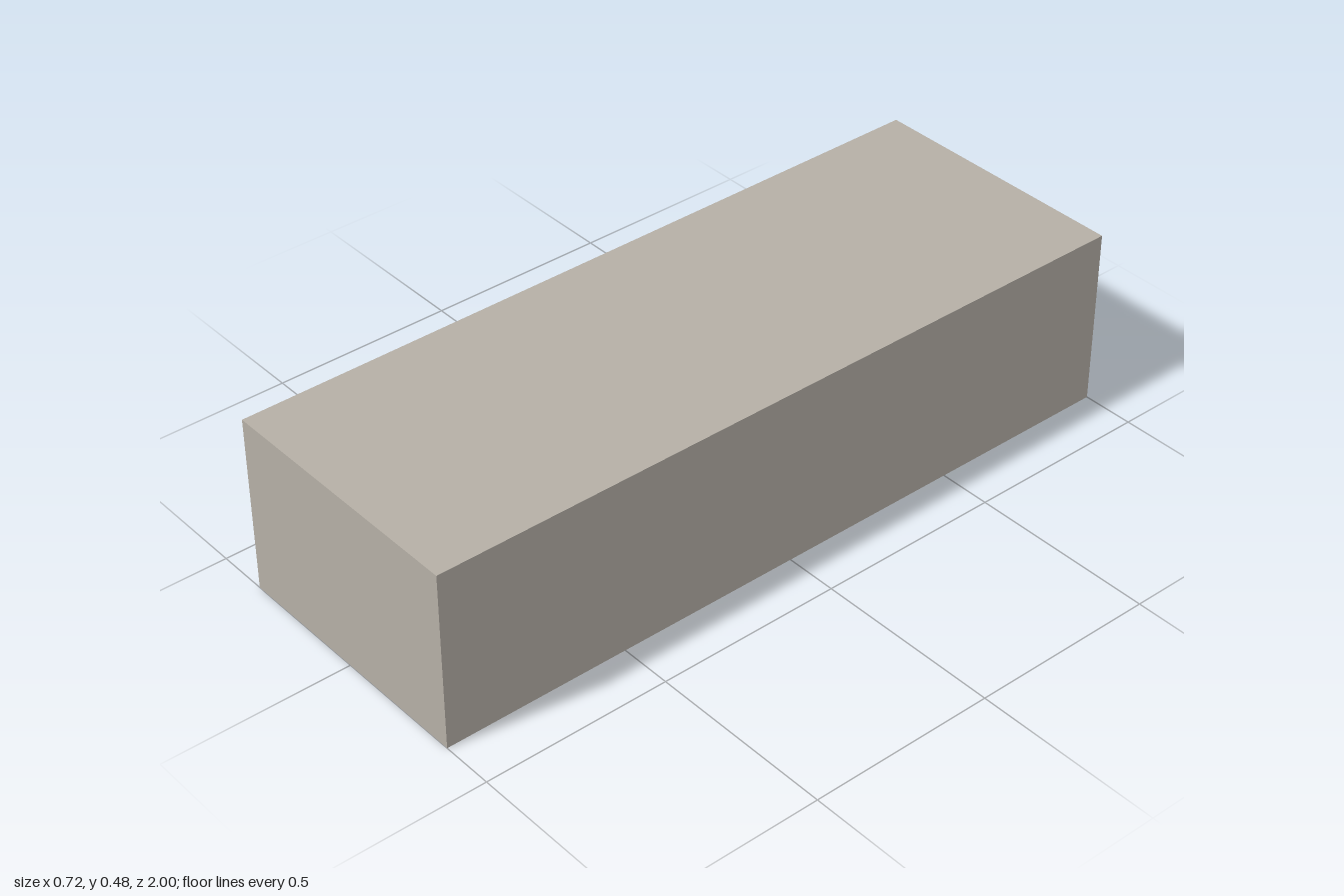
import * as THREE from 'three';

export function createModel() {
  const model = new THREE.Group();
  const concrete = new THREE.MeshStandardMaterial({ color: 0xb5afa6 });
  concrete.name = 'warm grey concrete';

  const W = 0.72, H = 0.48, L = 2, T = 0.014;
  const inner = H - T; // height of walls below the roof

  // Box given by its extents along each axis
  function block(name, x0, x1, y0, y1, z0, z1) {
    const mesh = new THREE.Mesh(new THREE.BoxGeometry(x1 - x0, y1 - y0, z1 - z0), concrete);
    mesh.position.set((x0 + x1) / 2, (y0 + y1) / 2, (z0 + z1) / 2);
    mesh.name = name;
    model.add(mesh);
  }

  const xi = W / 2 - T, zi = L / 2 - T;

  // Outer shell, open underneath
  block('roof', -W / 2, W / 2, inner, H, -L / 2, L / 2);
  block('leftWall', xi, W / 2, 0, inner, -L / 2, L / 2);
  block('rightWall', -W / 2, -xi, 0, inner, -L / 2, L / 2);
  block('frontWall', -xi, xi, 0, inner, zi, L / 2);
  block('backWall', -xi, xi, 0, inner, -L / 2, -zi);

  // Long wall between the two rows of rooms
  block('centreWall', -T / 2, T / 2, 0, inner, -zi, 0.71);

  // Large rooms on the left
  for (const z of [0.71, 0.28, -0.18, -0.63])
    block('largeRoomPartition', T / 2, xi, 0, inner, z - T / 2, z + T / 2);

  // Small rooms on the right
  block('smallRoomPartition', -xi, -T / 2, 0, inner, 0.71 - T / 2, 0.71 + T / 2);
  for (let i = 0; i < 6; i++) {
    const z = 0.594 - i * 0.256;
    block('smallRoomPartition', -xi, -T / 2, 0, inner, z - T / 2, z + T / 2);
  }

  // Floor slabs at the back
  block('roomFloor', T / 2, xi, 0.004, 0.018, -0.86, -0.637);
  block('backFloorLeft', T / 2, xi, 0.004, 0.018, -zi, -0.92);
  block('backFloorRight', -xi, -T / 2, 0.004, 0.018, -zi, -0.91);

  return model;
}
